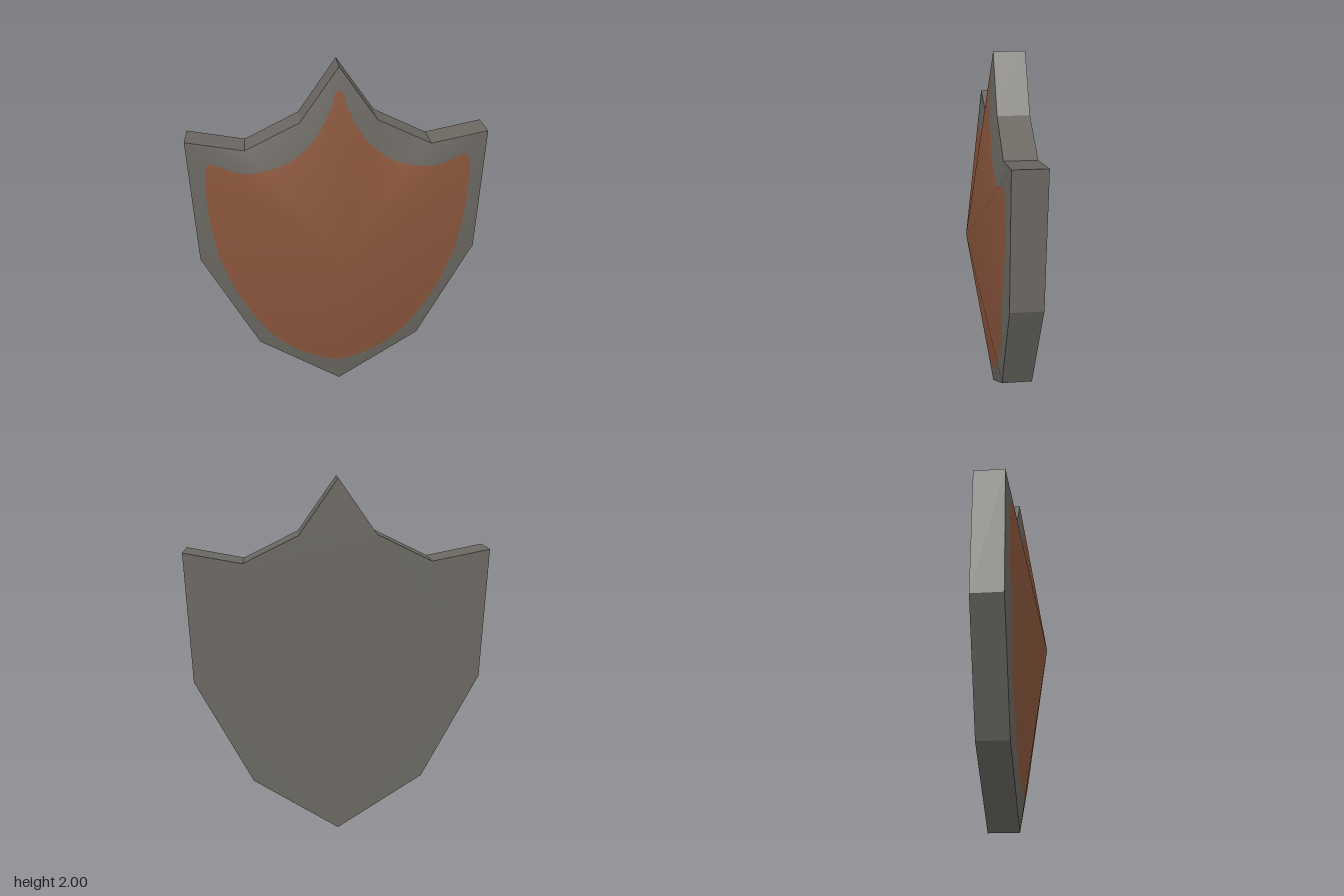
import * as THREE from 'three';

const steel = new THREE.MeshStandardMaterial({ color: 0x6b6862 });
steel.name = 'steel grey';
const leather = new THREE.MeshStandardMaterial({ color: 0x8b563c });
leather.name = 'russet brown';

const EDGE_Z = 0.005, BACK_Z = -0.158;
const PEAK = new THREE.Vector3(0, 1, 0.158);

// Right half, top to bottom, mirrored into a closed clockwise loop
const mirrorLoop = (half) => [
  ...half,
  ...half.slice(1, -1).reverse().map((p) => new THREE.Vector2(-p.x, p.y)),
];
const points = (list) => list.map(([x, y]) => new THREE.Vector2(x, y));

const outline = mirrorLoop(points([
  [0, 2], [0.2, 1.72], [0.487, 1.58], [0.785, 1.638], [0.775, 0.94], [0.48, 0.33], [0, 0],
]));
const panelHalf = new THREE.SplineCurve(points([
  [0, 1.885], [0.02, 1.87], [0.045, 1.79], [0.1, 1.68], [0.18, 1.58], [0.3, 1.5], [0.45, 1.466],
  [0.55, 1.48], [0.63, 1.512], [0.672, 1.523], [0.693, 1.49], [0.703, 1.38], [0.7, 1.22],
  [0.68, 1.04], [0.63, 0.83], [0.55, 0.63], [0.42, 0.42], [0.28, 0.28], [0.14, 0.205],
  [0.05, 0.18], [0, 0.178],
])).getPoints(80);
const panelOutline = mirrorLoop(panelHalf);

// Where a ray from the peak crosses a loop: distance, edge number, place along the edge
function hit(loop, angle) {
  const dx = Math.cos(angle), dy = Math.sin(angle);
  for (let i = 0; i < loop.length; i++) {
    const a = loop[i], b = loop[(i + 1) % loop.length];
    const ax = a.x, ay = a.y - PEAK.y, ex = b.x - a.x, ey = b.y - a.y;
    const det = dx * ey - dy * ex;
    if (Math.abs(det) < 1e-9) continue;
    const r = (ax * ey - ay * ex) / det;
    const s = (ax * dy - ay * dx) / det;
    if (r > 0 && s > -1e-6 && s < 1 + 1e-6) return { r, i, s };
  }
  return null;
}

// Smooth normals of the shallow pyramid, at its corners and its peak
function pyramidNormals() {
  const n = outline.length;
  const corners = outline.map(() => new THREE.Vector3());
  const peak = new THREE.Vector3();
  for (let i = 0; i < n; i++) {
    const j = (i + 1) % n;
    const a = new THREE.Vector3(outline[i].x, outline[i].y, EDGE_Z).sub(PEAK);
    const b = new THREE.Vector3(outline[j].x, outline[j].y, EDGE_Z).sub(PEAK);
    const face = b.cross(a);
    corners[i].add(face);
    corners[j].add(face);
    peak.add(face);
  }
  corners.forEach((c) => c.normalize());
  return { corners, peak: peak.normalize() };
}

function createFront() {
  const { corners, peak } = pyramidNormals();
  const angles = [...outline, ...panelOutline]
    .map((p) => Math.atan2(p.y - PEAK.y, p.x))
    .sort((a, b) => b - a)
    .filter((a, k, all) => k === 0 || all[k - 1] - a > 1e-5);

  // Each ray gives a point on the panel border and a point on the outer edge
  const rays = angles.map((angle) => {
    const outer = hit(outline, angle), inner = hit(panelOutline, angle);
    const edgeNormal = corners[outer.i].clone()
      .lerp(corners[(outer.i + 1) % corners.length], outer.s);
    const at = (r) => {
      const t = r / outer.r;
      return {
        p: [Math.cos(angle) * r, PEAK.y + Math.sin(angle) * r, PEAK.z + (EDGE_Z - PEAK.z) * t],
        n: peak.clone().lerp(edgeNormal, t).normalize().toArray(),
      };
    };
    return { inner: at(inner.r), outer: at(outer.r) };
  });

  const centre = { p: PEAK.toArray(), n: peak.toArray() };
  const panel = [], rim = [];
  rays.forEach((a, k) => {
    const b = rays[(k + 1) % rays.length];
    panel.push(centre, b.inner, a.inner);
    rim.push(a.inner, b.inner, b.outer, a.inner, b.outer, a.outer);
  });

  const build = (verts, material, name) => {
    const g = new THREE.BufferGeometry();
    g.setAttribute('position', new THREE.Float32BufferAttribute(verts.flatMap((v) => v.p), 3));
    g.setAttribute('normal', new THREE.Float32BufferAttribute(verts.flatMap((v) => v.n), 3));
    const mesh = new THREE.Mesh(g, material);
    mesh.name = name;
    return mesh;
  };
  return [build(panel, leather, 'frontPanel'), build(rim, steel, 'frontRim')];
}

export function createModel() {
  const group = new THREE.Group();
  group.name = 'shield';

  // Thick plate: side walls and flat back
  const plate = new THREE.ExtrudeGeometry(new THREE.Shape(outline), {
    depth: EDGE_Z - BACK_Z, bevelEnabled: false,
  });
  plate.translate(0, 0, BACK_Z);
  const body = new THREE.Mesh(plate, steel);
  body.name = 'shieldBody';

  // Raised front: brown panel inside a grey rim
  group.add(body, ...createFront());
  return group;
}
